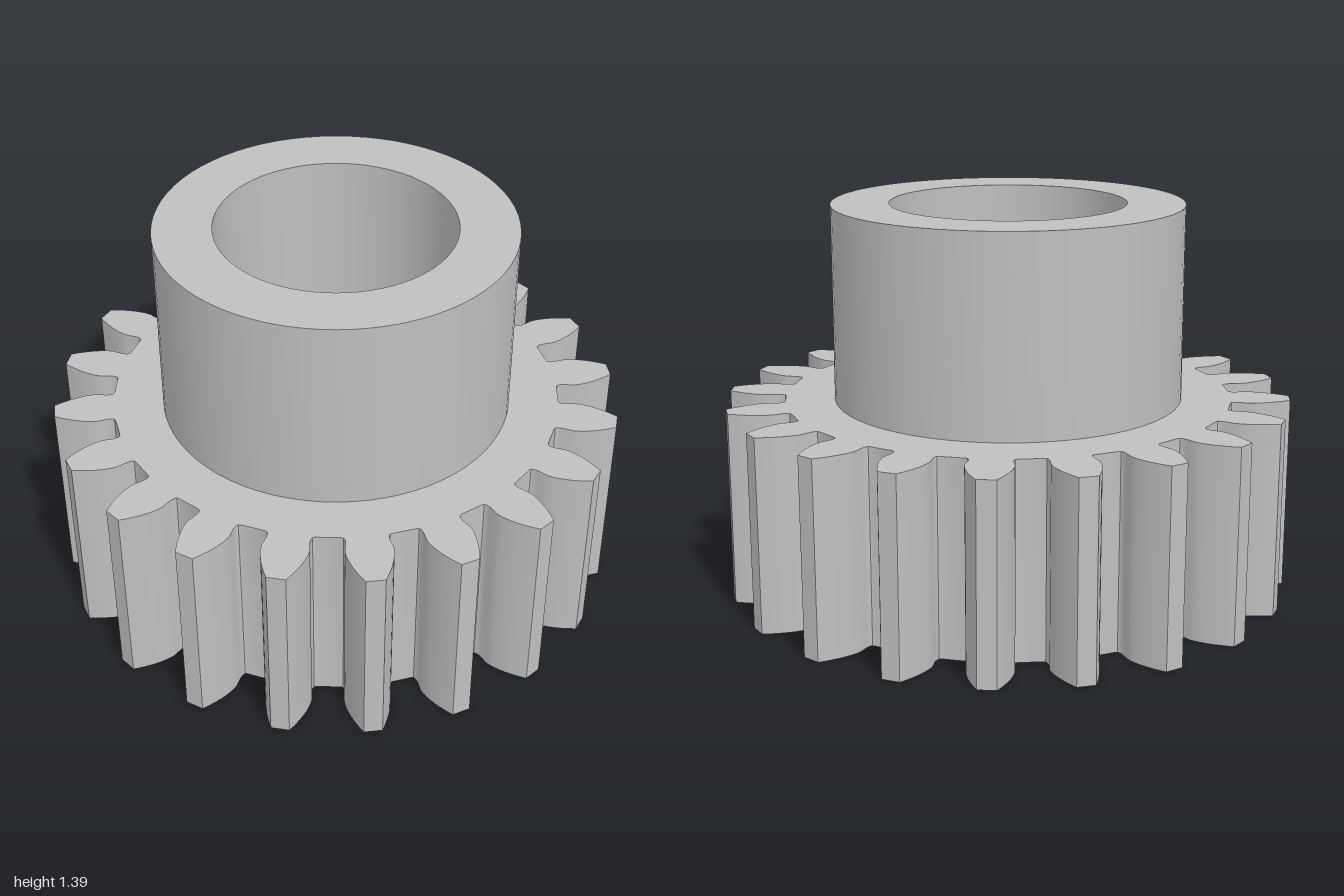
import * as THREE from 'three';
import { toCreasedNormals } from 'three/addons/utils/BufferGeometryUtils.js';

const TEETH = 20;
const GEAR_HEIGHT = 0.695, HUB_TOP = 1.39;
const HUB_RADIUS = 0.622, BORE_RADIUS = 0.417, FLAT_OFFSET = 0.285;
const TIP_RADIUS = 1.008, BASE_RADIUS = 0.863, ROOT_RADIUS = 0.798;
const DEG = Math.PI / 180;

// Half angle of a tooth along its involute flank
function flankAngle(radius) {
  const pressure = Math.acos(Math.min(1, BASE_RADIUS / radius));
  return 5.3 * DEG - (Math.tan(pressure) - pressure);
}

// One flank as [radius, half angle] pairs, from the root fillet to the tip
function toothFlank() {
  const points = [[ROOT_RADIUS, 5.9 * DEG], [0.801, 5.4 * DEG], [0.809, 5.1 * DEG], [0.825, 5.0 * DEG]];
  const steps = 8;
  for (let i = 0; i <= steps; i++) {
    const radius = BASE_RADIUS + ((TIP_RADIUS - BASE_RADIUS) * i) / steps;
    points.push([radius, flankAngle(radius)]);
  }
  return points;
}

function gearShape() {
  const flank = toothFlank();
  const outline = [];
  const add = (r, a) => outline.push(new THREE.Vector2(r * Math.cos(a), r * Math.sin(a)));
  for (let t = 0; t < TEETH; t++) {
    const centre = ((t + 0.5) * 2 * Math.PI) / TEETH;
    flank.forEach(([r, a]) => add(r, centre - a));
    [...flank].reverse().forEach(([r, a]) => add(r, centre + a));
  }
  const shape = new THREE.Shape(outline);

  // D-shaped bore, flat towards the back
  const a = Math.asin(FLAT_OFFSET / BORE_RADIUS);
  const bore = new THREE.Path();
  bore.absarc(0, 0, BORE_RADIUS, Math.PI - a, 2 * Math.PI + a, false);
  bore.closePath();
  shape.holes.push(bore);
  return shape;
}

export function createModel() {
  const group = new THREE.Group();
  group.name = 'spurGear';
  const metal = new THREE.MeshStandardMaterial({ color: 0xbfbfbf });
  metal.name = 'grey metal';

  // Toothed wheel
  const wheelGeometry = new THREE.ExtrudeGeometry(gearShape(), {
    depth: GEAR_HEIGHT, bevelEnabled: false, curveSegments: 48,
  });
  wheelGeometry.rotateX(-Math.PI / 2);
  const wheel = new THREE.Mesh(toCreasedNormals(wheelGeometry, 35 * DEG), metal);
  wheel.name = 'toothedWheel';
  group.add(wheel);

  // Hub collar with a round bore
  const profile = [
    [HUB_RADIUS, GEAR_HEIGHT], [HUB_RADIUS, HUB_TOP],
    [BORE_RADIUS, HUB_TOP], [BORE_RADIUS, GEAR_HEIGHT],
  ].map(([r, y]) => new THREE.Vector2(r, y));
  const hub = new THREE.Mesh(toCreasedNormals(new THREE.LatheGeometry(profile, 72), 35 * DEG), metal);
  hub.name = 'hubCollar';
  group.add(hub);

  return group;
}
